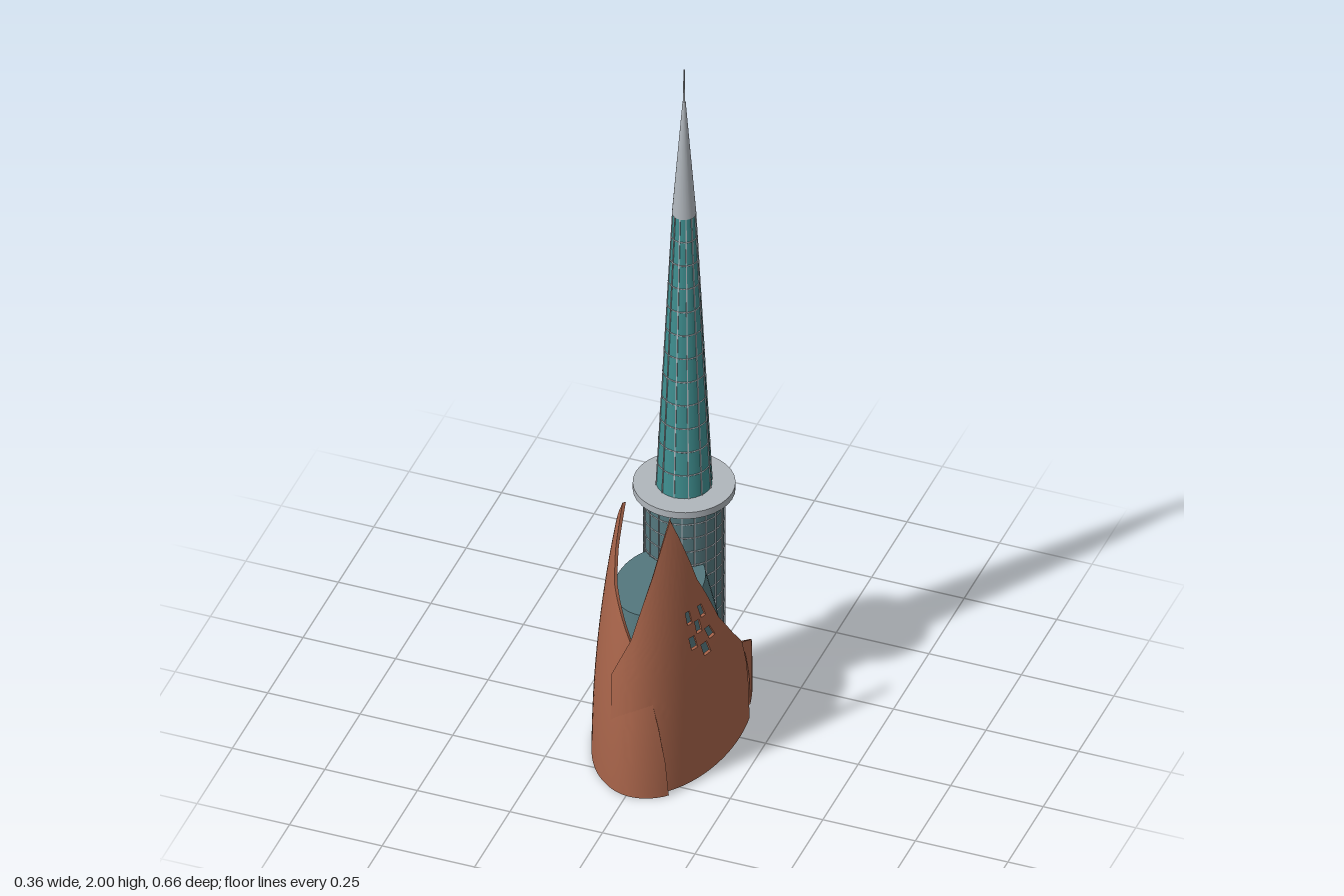
import * as THREE from 'three';
import { toCreasedNormals } from 'three/addons/utils/BufferGeometryUtils.js';

const mat = (name, color, side = THREE.FrontSide) => {
  const m = new THREE.MeshStandardMaterial({ color, side });
  m.name = name;
  return m;
};

// Linear lookup in a short [y, value] table
function lookup(table, y) {
  for (let i = 1; i < table.length; i++) {
    const [y0, v0] = table[i - 1], [y1, v1] = table[i];
    if (y <= y1) return v0 + (v1 - v0) * Math.max(0, (y - y0) / (y1 - y0));
  }
  return table[table.length - 1][1];
}

// Thick curved panel on a tapering oval; angle 0 is the front, growing towards `side`
function panel({ side, a, b, top, scale, from, to, flare = () => 0, hole = () => false, thick = 0.009 }) {
  const nu = 36, nv = 40, pos = [], idx = [];
  for (let j = 0; j <= nv; j++) {
    const y = top * j / nv, s = scale(y);
    const t0 = from(y, s), t1 = Math.max(to(y, s), t0 + 0.01);
    for (let i = 0; i <= nu; i++) {
      const t = t0 + (t1 - t0) * i / nu, k = s * (1 + flare(t, y));
      for (const d of [0, thick]) {
        pos.push(side * (a * k - d) * Math.sin(t), y, (b * k - d) * Math.cos(t));
      }
    }
  }
  const id = (i, j, inner) => 2 * (j * (nu + 1) + i) + inner;
  const quad = (p, q, r, s) => idx.push(...(side > 0 ? [p, q, r, p, r, s] : [p, r, q, p, s, r]));
  const solid = (i, j) => i >= 0 && j >= 0 && i < nu && j < nv && !hole(i, j);
  const wall = (i0, j0, i1, j1) => quad(id(i0, j0, 0), id(i0, j0, 1), id(i1, j1, 1), id(i1, j1, 0));
  for (let j = 0; j < nv; j++) for (let i = 0; i < nu; i++) {
    if (!solid(i, j)) continue;
    quad(id(i, j, 0), id(i + 1, j, 0), id(i + 1, j + 1, 0), id(i, j + 1, 0));
    quad(id(i, j, 1), id(i, j + 1, 1), id(i + 1, j + 1, 1), id(i + 1, j, 1));
    if (!solid(i, j - 1)) wall(i, j, i + 1, j);
    if (!solid(i + 1, j)) wall(i + 1, j, i + 1, j + 1);
    if (!solid(i, j + 1)) wall(i + 1, j + 1, i, j + 1);
    if (!solid(i - 1, j)) wall(i, j + 1, i, j);
  }
  const g = new THREE.BufferGeometry();
  g.setAttribute('position', new THREE.Float32BufferAttribute(pos, 3));
  g.setIndex(idx);
  return toCreasedNormals(g, 0.6);
}

export function createModel() {
  const rust = mat('rust cladding', 0xa8644a, THREE.DoubleSide);
  const teal = mat('grey teal glass', 0x54777d, THREE.DoubleSide);
  const glass = mat('bright teal glass', 0x3f8f90);
  const grey = mat('light grey metal', 0xb0b6bc);

  const model = new THREE.Group();
  const add = (parent, name, geo, material, x = 0, y = 0, z = 0) => {
    const m = new THREE.Mesh(geo, material);
    m.name = name;
    m.position.set(x, y, z);
    parent.add(m);
    return m;
  };
  const clamp = v => Math.max(-1, Math.min(1, v));
  const A = 0.182, B = 0.325;
  const angleX = (table, side) => (y, s) => Math.asin(clamp(side * lookup(table, y) / (A * s)));
  const angleZ = (table, b = B) => (y, s) => Math.acos(clamp(lookup(table, y) / (b * s)));
  // Staggered openings near the rear edge of a shell
  const openings = (j0, j1) => (i, j) => j >= j0 && j < j1 && i >= 24 && i < 33 &&
    i % 3 !== 2 && ((Math.floor(i / 3) + (j >> 1)) % 2 === 0);

  // Two tall wrapping shells
  add(model, 'leftShell', panel({
    side: 1, a: A, b: B, top: 0.8,
    scale: y => 0.99 - 0.22 * (y / 0.8) ** 2,
    from: angleX([[0, -0.05], [0.34, -0.055], [0.465, 0], [0.65, 0.045], [0.8, 0.073]], 1),
    to: angleZ([[0, -0.085], [0.1, -0.08], [0.2, -0.06], [0.28, -0.03], [0.35, 0.03],
      [0.44, 0.095], [0.6, 0.165], [0.7, 0.19], [0.8, 0.213]]),
    hole: openings(18, 26),
  }), rust);
  add(model, 'rightShell', panel({
    side: -1, a: A, b: B, top: 0.76,
    scale: y => 1 - 0.375 * (y / 0.76) ** 2,
    from: angleX([[0, 0.095], [0.1, 0.088], [0.2, 0.073], [0.31, 0.05], [0.45, -0.01],
      [0.57, -0.075], [0.65, -0.088], [0.76, -0.086]], -1),
    to: angleZ([[0, -0.085], [0.1, -0.08], [0.28, -0.04], [0.5, 0.02], [0.65, 0.085], [0.76, 0.135]]),
    flare: (t, y) => 0.055 * Math.max(0, Math.min(1, (0.4 - t) / 0.9)) * Math.max(0, 1 - y / 0.4),
    hole: openings(26, 34),
  }), rust);

  // Low swept fins at the back
  for (const side of [1, -1]) {
    add(model, side > 0 ? 'leftFin' : 'rightFin', panel({
      side, a: 0.17, b: 0.342, top: 0.275,
      scale: y => 1 - 0.25 * y * y,
      from: angleZ([[0, -0.14], [0.1, -0.125], [0.2, -0.085], [0.275, -0.025]], 0.342),
      to: angleZ([[0, -0.322], [0.08, -0.255], [0.175, -0.18], [0.23, -0.1], [0.275, -0.027]], 0.342),
    }), rust);
  }

  // Oval glass hall, open below with a flat roof
  const wall = [[1, 0], [0.97, 0.12], [0.9, 0.25], [0.8, 0.38], [0.66, 0.51]]
    .map(p => new THREE.Vector2(...p));
  const hall = new THREE.Group();
  hall.name = 'hall';
  model.add(hall);
  const shear = new THREE.Matrix4().set(0.167, 0, 0, 0, 0, 1, 0, 0, 0, 0.07, 0.23, 0.06, 0, 0, 0, 1);
  add(hall, 'hallWall', new THREE.LatheGeometry(wall, 48).applyMatrix4(shear), teal);
  add(hall, 'hallRoof', new THREE.CircleGeometry(0.66, 48).rotateX(-Math.PI / 2)
    .translate(0, 0.51, 0).applyMatrix4(shear), teal);

  // Round tower
  const tower = new THREE.Group();
  tower.name = 'tower';
  tower.position.z = -0.078;
  model.add(tower);
  const drum = (name, r0, r1, y0, y1, material, n = 32) =>
    add(tower, name, new THREE.CylinderGeometry(r1, r0, y1 - y0, n), material, 0, (y0 + y1) / 2, 0);

  // Metal grid of upright ribs and level rings over a straight-sided drum
  const grid = (name, r0, r1, y0, y1, ribs, rings) => {
    const g = new THREE.Group();
    g.name = name;
    tower.add(g);
    const len = Math.hypot(y1 - y0, r0 - r1);
    for (let i = 0; i < ribs; i++) {
      const geo = new THREE.BoxGeometry(0.003, len, 0.004);
      geo.rotateX(-Math.atan2(r0 - r1, y1 - y0)).translate(0, (y0 + y1) / 2, (r0 + r1) / 2);
      geo.rotateY(i / ribs * Math.PI * 2);
      add(g, 'rib', geo, grey);
    }
    for (let i = 1; i < rings; i++) {
      const k = i / rings;
      const geo = new THREE.TorusGeometry(r0 + (r1 - r0) * k, 0.002, 4, 32).rotateX(Math.PI / 2);
      add(g, 'ring', geo, grey, 0, y0 + (y1 - y0) * k, 0);
    }
  };
  drum('lowerTower', 0.102, 0.102, 0, 0.685, teal);
  grid('lowerGrid', 0.102, 0.102, 0, 0.685, 20, 16);
  drum('upperTower', 0.071, 0.029, 0.7, 1.55, glass);
  grid('upperGrid', 0.071, 0.029, 0.7, 1.55, 12, 12);

  // Deck, spire and mast
  drum('deck', 0.13, 0.13, 0.682, 0.702, grey);
  drum('spire', 0.031, 0.004, 1.55, 1.9, grey, 24);
  drum('mast', 0.003, 0.002, 1.9, 2, grey, 8);

  // Rear balconies
  for (const y of [0.43, 0.51, 0.59]) {
    add(tower, 'balcony', new THREE.CylinderGeometry(0.041, 0.041, 0.011, 20), grey, 0, y, -0.126);
  }
  return model;
}
